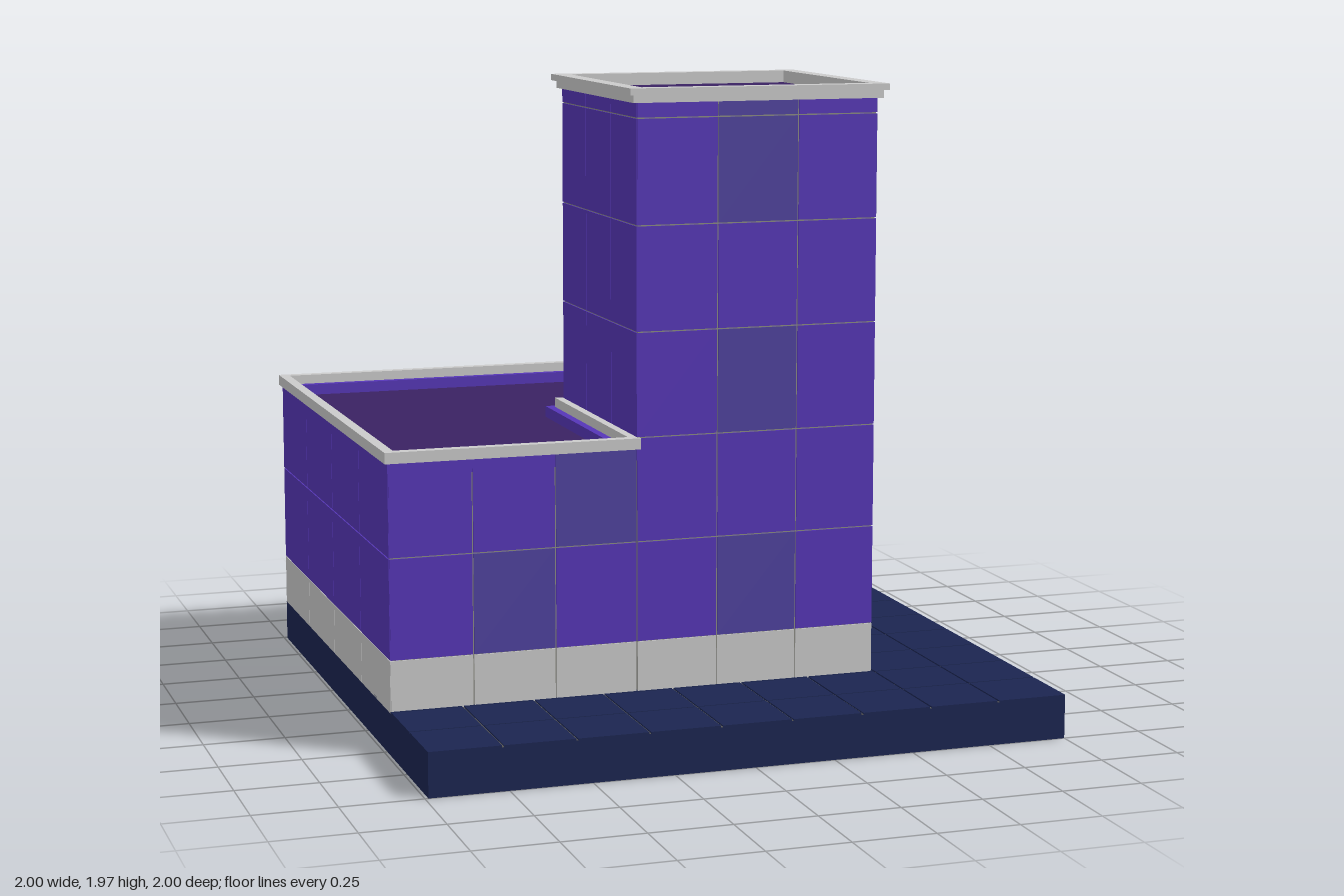
import * as THREE from 'three';

const mat = (color) => new THREE.MeshStandardMaterial({ color });
const PURPLE = mat(0x5636b8), SLATE = mat(0x4f429f), ROOF = mat(0x3a2263);
const NAVY = mat(0x1b2551), GREY = mat(0xcccccc), SEAM = mat(0x8c8c84), GROUT = mat(0x5a5a58);

const LO = -0.99, MID = -0.22, HI = 0.55; // wing outer edge, tower inner edge, shared edge
const SKIN = 0.004; // panel thickness

// Footprint outlines in x/z, moved inward by d
const wingOutline = (d) => [
  [LO + d, LO + d], [HI - d, LO + d], [HI - d, MID - d],
  [MID - d, MID - d], [MID - d, HI - d], [LO + d, HI - d],
];
const towerOutline = (d) => [
  [MID + d, MID + d], [HI - d, MID + d], [HI - d, HI - d], [MID + d, HI - d],
];
const toPoints = (outline) => outline.map(([x, z]) => new THREE.Vector2(x, z));

// Upright prism over an outline, with an optional opening
function prism(name, outline, y0, y1, material, opening) {
  const shape = new THREE.Shape(toPoints(outline));
  if (opening) shape.holes.push(new THREE.Path(toPoints(opening)));
  const geo = new THREE.ExtrudeGeometry(shape, { depth: y1 - y0, bevelEnabled: false });
  geo.rotateX(Math.PI / 2).translate(0, y1, 0);
  const mesh = new THREE.Mesh(geo, material);
  mesh.name = name;
  return mesh;
}

function box(name, [x0, x1], [y0, y1], [z0, z1], material) {
  const mesh = new THREE.Mesh(new THREE.BoxGeometry(x1 - x0, y1 - y0, z1 - z0), material);
  mesh.position.set((x0 + x1) / 2, (y0 + y1) / 2, (z0 + z1) / 2);
  mesh.name = name;
  return mesh;
}

const split = (a, b, n) => Array.from({ length: n + 1 }, (_, i) => a + ((b - a) * i) / n);

// One wall clad in thin panels: axis is the wall normal, at its position, sign its outward side.
// slate lists "column,row" pairs; rows start at the plinth.
function cladding(name, axis, at, sign, columns, rows, slate = [], plinth = true) {
  const wall = new THREE.Group();
  wall.name = name;
  const gap = 0.002;
  const depth = sign > 0 ? [at - SKIN, at] : [at, at + SKIN];
  for (let c = 0; c < columns.length - 1; c++) {
    const span = [columns[c] + gap, columns[c + 1] - gap];
    for (let r = 0; r < rows.length - 1; r++) {
      const isPlinth = plinth && r === 0;
      const material = isPlinth ? GREY : slate.includes(`${c},${r}`) ? SLATE : PURPLE;
      const height = [rows[r] + (r ? gap : 0), rows[r + 1] - (isPlinth ? 0 : gap)];
      const label = isPlinth ? 'plinthPanel' : 'wallPanel';
      wall.add(axis === 'x'
        ? box(label, depth, height, span, material)
        : box(label, span, height, depth, material));
    }
  }
  return wall;
}

function createBase() {
  const base = new THREE.Group();
  base.name = 'base';
  base.add(box('baseSlab', [LO, 1], [0, 0.13], [LO, 1], NAVY));
  base.add(box('tileGrout', [LO + 0.001, 1 - 0.001], [0.13, 0.132], [LO + 0.001, 1 - 0.001], GROUT));
  const lines = split(LO, 1, 9);
  for (let i = 0; i < 9; i++) {
    for (let j = 0; j < 9; j++) {
      if (lines[i + 1] < HI && lines[j + 1] < HI) continue; // under the building
      const a = i ? 0.003 : 0, b = i < 8 ? 0.003 : 0;
      const c = j ? 0.003 : 0, d = j < 8 ? 0.003 : 0;
      base.add(box('pavingTile', [lines[i] + a, lines[i + 1] - b], [0.13, 0.136],
        [lines[j] + c, lines[j + 1] - d], NAVY));
    }
  }
  return base;
}

function createWing() {
  const wing = new THREE.Group();
  wing.name = 'lowWing';
  const rows = [0.13, 0.29, 0.6, 0.887];
  wing.add(
    prism('wingCore', wingOutline(SKIN), 0.13, 0.845, SEAM),
    prism('wingRoof', wingOutline(0.01), 0.845, 0.855, ROOF),
    prism('parapet', wingOutline(SKIN), 0.845, 0.89, PURPLE, wingOutline(0.047)),
    prism('parapetCap', wingOutline(-0.01), 0.886, 0.92, GREY, wingOutline(0.022)),
    cladding('wingFront', 'z', HI, 1, split(LO, MID, 3), rows, ['1,1', '2,2']),
    cladding('wingRight', 'x', HI, 1, split(LO, MID, 2), rows, ['1,2']),
    cladding('wingBack', 'z', LO, -1, [...split(LO, MID, 3), HI], rows),
    cladding('wingLeft', 'x', LO, -1, split(LO, HI, 4), rows),
  );
  return wing;
}

function createTower() {
  const tower = new THREE.Group();
  tower.name = 'tower';
  const columns = split(MID, HI, 3);
  const upper = [0.92, 1.24, 1.56, 1.88, 1.927];
  const full = [0.13, 0.29, 0.6, ...upper];
  const inner = [0.85, ...upper]; // sides rising out of the wing roof
  tower.add(
    prism('towerCore', towerOutline(SKIN), 0.13, 1.927, SEAM),
    cladding('towerFront', 'z', HI, 1, columns, full, ['1,1', '1,3', '1,5', '1,6']),
    cladding('towerRight', 'x', HI, 1, columns, full, ['0,1', '1,2', '0,3', '1,4', '2,5', '2,6']),
    cladding('towerBack', 'z', MID, -1, columns, inner, [], false),
    cladding('towerLeft', 'x', MID, -1, columns, inner, [], false),
    prism('towerRoof', towerOutline(0.01), 1.927, 1.932, ROOF),
    prism('corniceLower', towerOutline(-0.014), 1.926, 1.95, GREY, towerOutline(0.022)),
    prism('corniceUpper', towerOutline(-0.028), 1.95, 1.97, GREY, towerOutline(0.022)),
  );
  return tower;
}

export function createModel() {
  const model = new THREE.Group();
  model.name = 'building';
  model.add(createBase(), createWing(), createTower());
  return model;
}
